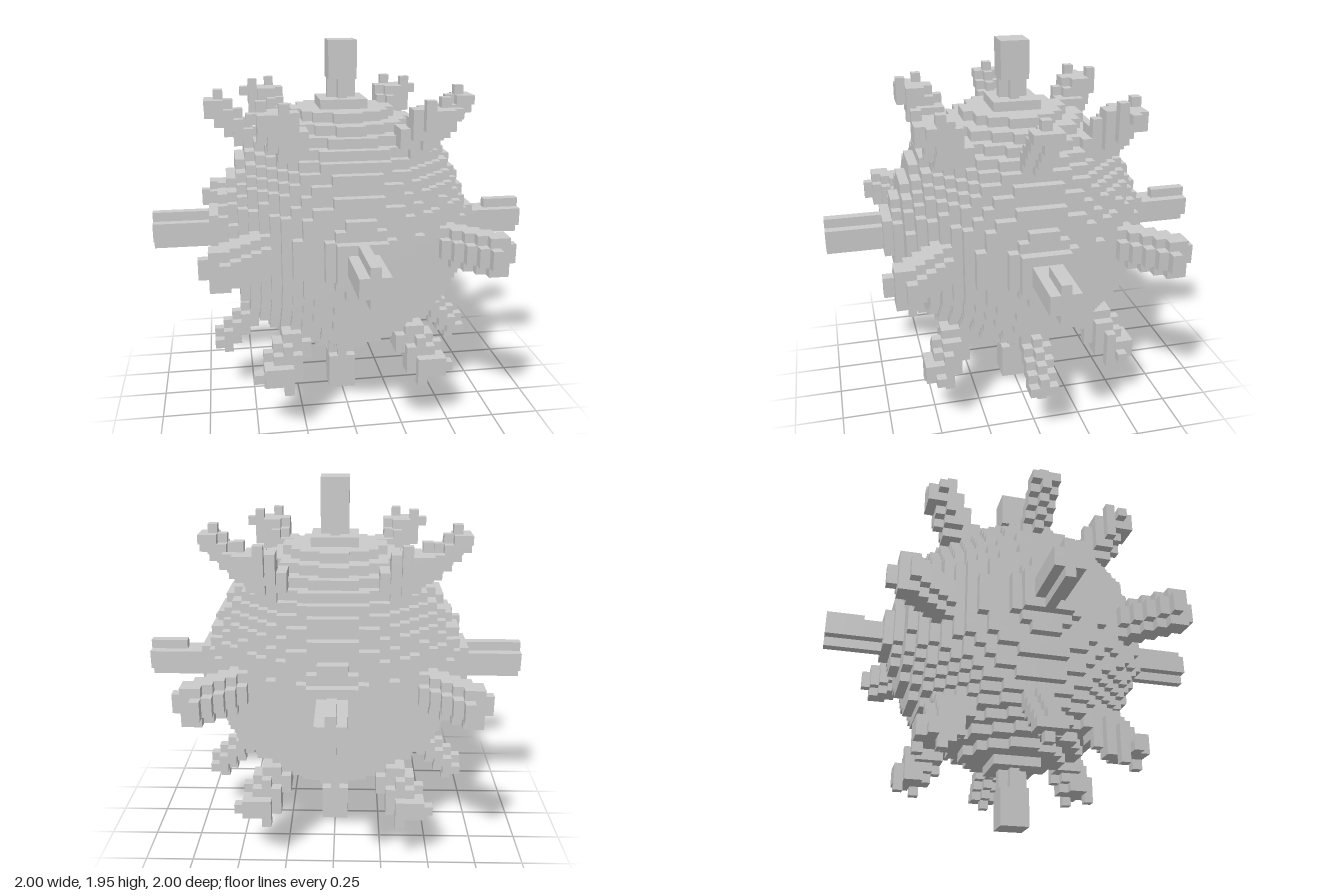
import * as THREE from 'three';

// Cube grid: x and z sit on whole cells, y on half cells (20 cells above the ground).
const CELL = 2 / 41;
const N = 20;
const material = new THREE.MeshStandardMaterial({ color: 0xcccccc, flatShading: true });

// Cross-shaped section: wide in the two middle rows, narrow in the outer ones
const plus = (across, up) => (across <= 1 && up < 1) || (across === 0 && up < 2);

// Stepped ball
const ball = (x, y, z) => x * x + y * y + z * z <= 13.5 * 13.5;

// Level prong along an axis: square collar, then a cross-shaped bar
function levelProng(along, y, across, notched) {
  if (along < 13 || along > 20) return false;
  if (along <= 14 && Math.abs(across) <= 2 && Math.abs(y) < 2) return true;
  if (notched && along < 17 && y > 1) return false;
  return plus(Math.abs(across), Math.abs(y));
}

// Upright prong: collar, cross-shaped stem, square block at the end
function uprightProng(x, y, z) {
  const ax = Math.abs(x), az = Math.abs(z);
  if (y < 12 || y > 20) return false;
  if (y < 14) return ax <= 2 && az <= 2;
  return ax <= 1 && az <= 1 && (y > 16 || ax === 0 || az === 0);
}

// Diagonal prong around the middle
function middleProng(x, y, z) {
  const d = Math.abs(x - z), h = Math.abs(y);
  return x > 6 && z > 6 && x + z <= 28 && h < 2 && d <= (h < 1 ? 2 : 1);
}

// Diagonal prong to the side, rising in the x-y plane
function sideProng(x, y, z) {
  const d = Math.abs(x - y), w = Math.abs(z);
  return x > 6 && y > 6 && x + y <= 27.5 && w <= 1 && d <= (w === 0 ? 2 : 1);
}

// Slanted prong towards a corner, with two studs on its end
const cornerAxis = new THREE.Vector3(8, 13.5, 10).normalize();
function cornerProng(x, y, z) {
  if (y === 14.5) return (x === 7 && z === 11) || (x === 9 && z === 9);
  const p = new THREE.Vector3(x, y, z);
  const t = p.dot(cornerAxis);
  return y < 14 && t > 11 && t < 19.6 && p.addScaledVector(cornerAxis, -t).length() <= 1.9;
}

// Every part is a name and an inside test
function listParts() {
  const parts = [['ball', ball]];
  for (const s of [1, -1]) {
    const lr = s > 0 ? 'left' : 'right';
    parts.push([lr + 'Prong', (x, y, z) => levelProng(s * x, y, z, s > 0)]);
    parts.push([s > 0 ? 'frontProng' : 'backProng', (x, y, z) => levelProng(s * z, y, x, s < 0)]);
    parts.push([s > 0 ? 'topProng' : 'bottomProng', (x, y, z) => uprightProng(x, s * y, z)]);
    for (const t of [1, -1]) {
      const fb = t > 0 ? 'Front' : 'Back', ul = t > 0 ? 'Upper' : 'Lower';
      parts.push([lr + fb + 'MiddleProng', (x, y, z) => middleProng(s * x, y, t * z)]);
      parts.push([lr + ul + 'SideProng', (x, y, z) => sideProng(s * x, t * y, z)]);
      for (const u of [1, -1]) {
        parts.push([lr + ul + (u > 0 ? 'Front' : 'Back') + 'CornerProng',
          (x, y, z) => cornerProng(s * x, t * y, u * z)]);
      }
    }
  }
  return parts;
}

// Outward faces of a cube: normal plus two in-plane directions
const FACES = [];
for (let axis = 0; axis < 3; axis++) {
  for (const s of [1, -1]) {
    const n = [0, 0, 0], u = [0, 0, 0], v = [0, 0, 0];
    n[axis] = s;
    u[(axis + 1) % 3] = s;
    v[(axis + 2) % 3] = 1;
    FACES.push({ n, u, v });
  }
}
const CORNERS = [[-1, -1], [1, -1], [1, 1], [-1, 1]];

// Skin of a list of cells, leaving out faces hidden by any neighbour
function skin(cells, filled) {
  const pos = [], nor = [], index = [];
  for (const c of cells) {
    for (const { n, u, v } of FACES) {
      if (filled.has(c.map((k, i) => k + n[i]).join())) continue;
      const b = pos.length / 3;
      for (const [p, q] of CORNERS) {
        for (let i = 0; i < 3; i++) {
          pos.push((c[i] + (n[i] + p * u[i] + q * v[i]) / 2) * CELL);
          nor.push(n[i]);
        }
      }
      index.push(b, b + 1, b + 2, b, b + 2, b + 3);
    }
  }
  const g = new THREE.BufferGeometry();
  g.setAttribute('position', new THREE.Float32BufferAttribute(pos, 3));
  g.setAttribute('normal', new THREE.Float32BufferAttribute(nor, 3));
  g.setIndex(index);
  return g;
}

export function createModel() {
  const group = new THREE.Group();
  group.name = 'spikedBall';
  const parts = listParts().map(([name, inside]) => ({ name, inside, cells: [] }));
  const filled = new Set();

  // Give each filled cell to the first part that holds it
  for (let x = -N; x <= N; x++) {
    for (let y = -N + 0.5; y < N; y++) {
      for (let z = -N; z <= N; z++) {
        const part = parts.find((p) => p.inside(x, y, z));
        if (!part) continue;
        part.cells.push([x, y, z]);
        filled.add([x, y, z].join());
      }
    }
  }

  for (const { name, cells } of parts) {
    const mesh = new THREE.Mesh(skin(cells, filled), material);
    mesh.name = name;
    mesh.position.y = N * CELL;
    group.add(mesh);
  }
  return group;
}
